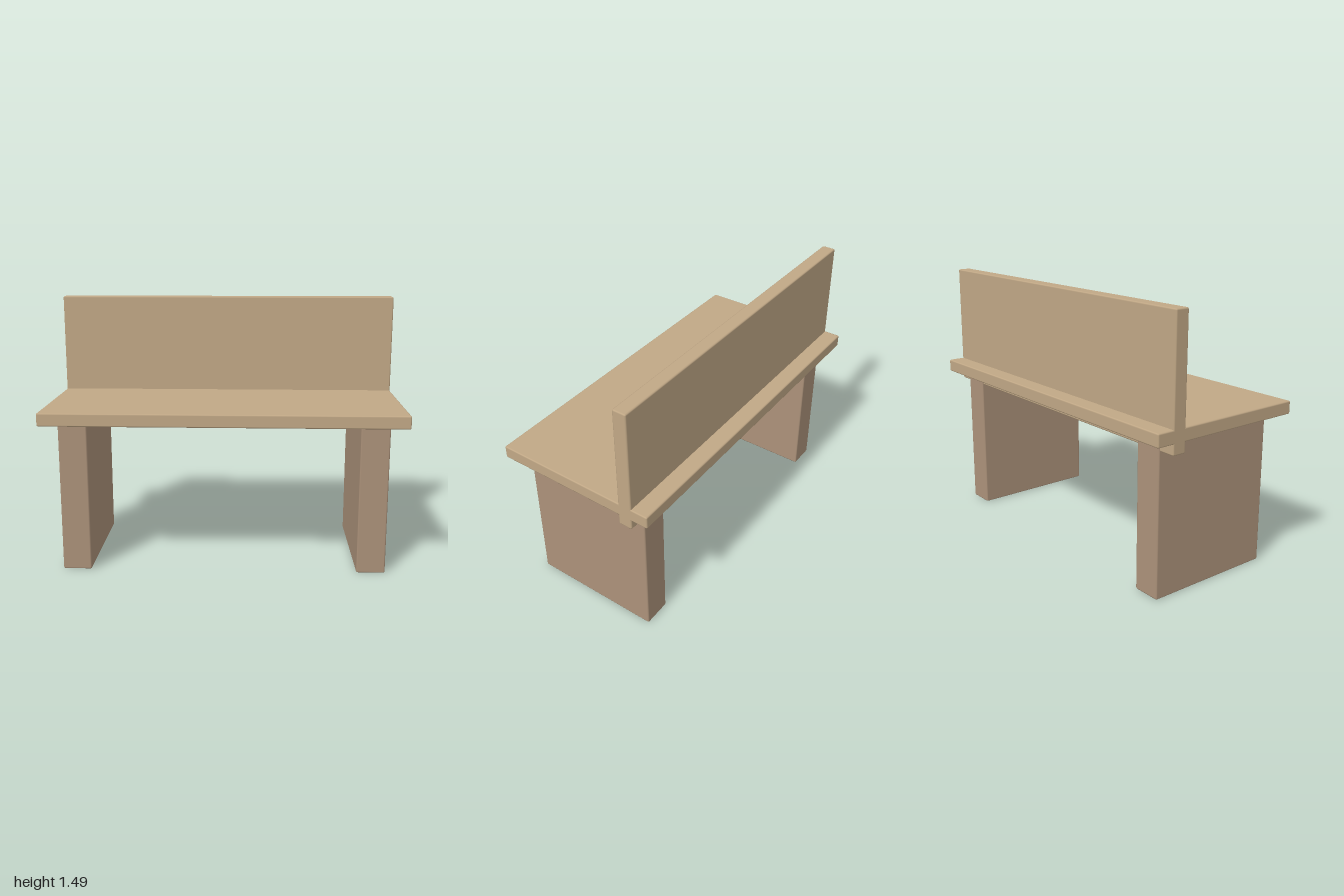
import * as THREE from 'three';
import { RoundedBoxGeometry } from 'three/addons/geometries/RoundedBoxGeometry.js';

const EDGE = 0.008; // small softened edge on every board

export function createModel() {
  const bench = new THREE.Group();
  bench.name = 'bench';
  const lightWood = new THREE.MeshStandardMaterial({ color: 0xc1a886 });
  const darkWood = new THREE.MeshStandardMaterial({ color: 0xac927a });

  // Board given by its lower and upper corners
  function board(name, material, min, max) {
    const [w, h, d] = max.map((v, i) => v - min[i]);
    const mesh = new THREE.Mesh(new RoundedBoxGeometry(w, h, d, 1, EDGE), material);
    mesh.position.set(...max.map((v, i) => (v + min[i]) / 2));
    mesh.name = name;
    bench.add(mesh);
  }

  // Seat plank
  board('seat', lightWood, [-1, 0.848, -0.467], [1, 0.921, 0.467]);

  // Backrest, passing down through the seat
  board('backrest', lightWood, [-1, 0.79, -0.371], [1, 1.49, -0.292]);

  // Slab legs, let slightly into the seat
  for (const [name, x] of [['leftLeg', 0.828], ['rightLeg', -0.828]]) {
    board(name, darkWood, [x - 0.08, 0, -0.377], [x + 0.08, 0.86, 0.377]);
  }

  return bench;
}
